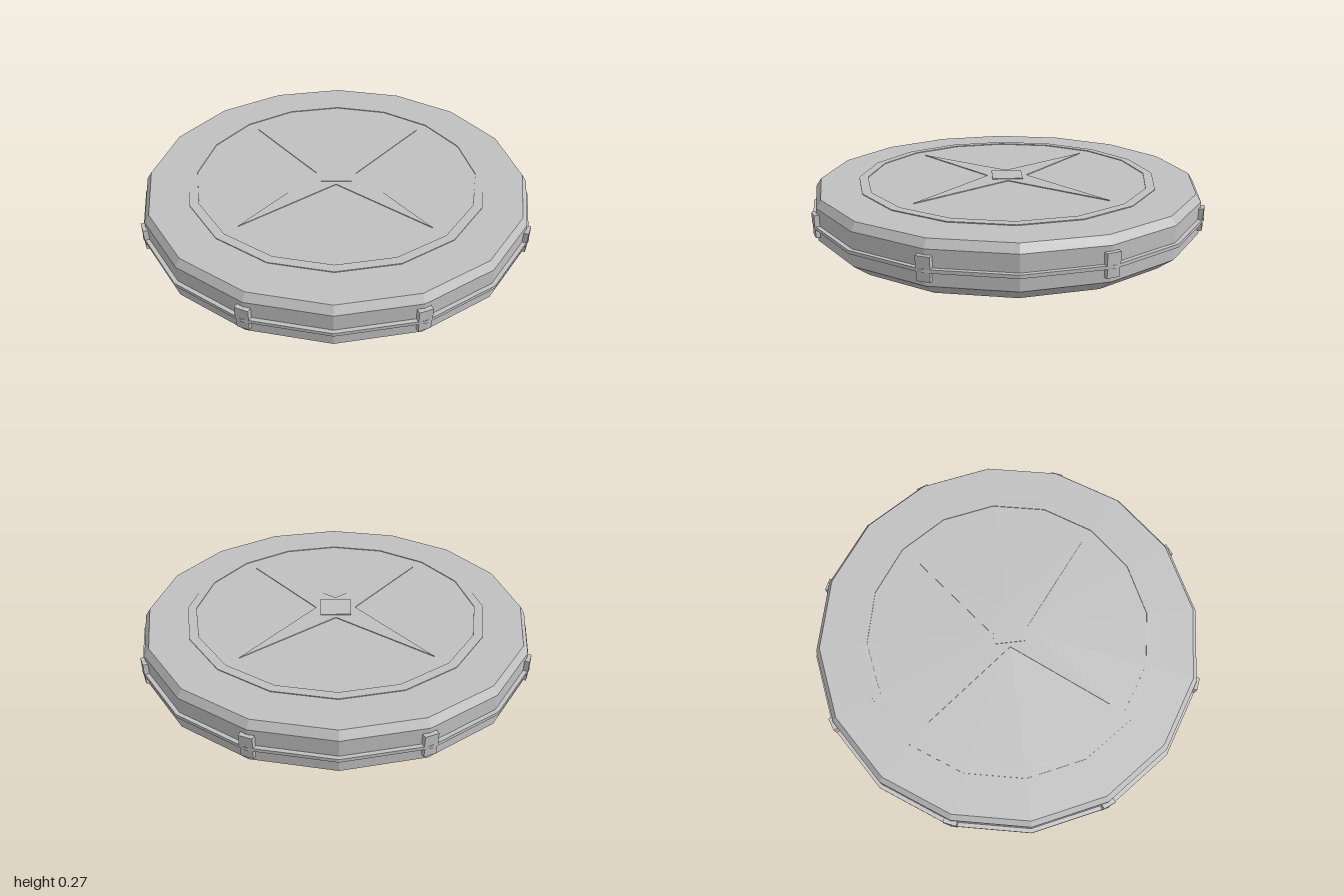
import * as THREE from 'three';

export function createModel() {
  const model = new THREE.Group();
  const grey = new THREE.MeshStandardMaterial({ color: 0xc0c0c0, flatShading: true });
  grey.name = 'grey metal';
  const SIDES = 16;
  const TOP = 0.262;

  const add = (name, geometry, parent = model) => {
    const mesh = new THREE.Mesh(geometry, grey);
    mesh.name = name;
    parent.add(mesh);
    return mesh;
  };
  const lathe = (points) =>
    new THREE.LatheGeometry(points.map(([r, y]) => new THREE.Vector2(r, y)), SIDES);

  // Flat sixteen-sided body with a bevelled lid and base
  add('body', lathe([[0, 0], [0.9, 0], [0.98, 0.065], [0.98, 0.225], [0.955, TOP], [0, TOP]]));

  // Thin seam rim around the middle
  add('seamRim', lathe([[0.96, 0.13], [1, 0.13], [1, 0.146], [0.96, 0.146]]));

  // Slightly raised ring on the lid
  add('lidRing', lathe([[0.76, TOP - 0.002], [0.76, TOP + 0.004], [0.715, TOP + 0.004], [0.715, TOP - 0.002]]));

  // Raised plates on the lid: alternating radii make a four-pointed outline
  const lidPlate = (name, tip, notch, height) => {
    const points = [];
    for (let i = 0; i < 8; i++) {
      const r = i % 2 ? notch : tip;
      const a = (i * Math.PI) / 4;
      points.push(new THREE.Vector2(r * Math.cos(a), r * Math.sin(a)));
    }
    const geometry = new THREE.ExtrudeGeometry(new THREE.Shape(points), { depth: height, bevelEnabled: false });
    geometry.rotateX(-Math.PI / 2);
    add(name, geometry).position.y = TOP;
  };
  lidPlate('lidStar', 0.635, 0.1, 0.004);
  lidPlate('lidDiamond', 0.11, 0.11 * Math.SQRT1_2, 0.008);

  // Eight clips holding lid and base together, on every other corner
  for (let i = 0; i < 8; i++) {
    const clip = new THREE.Group();
    clip.name = 'clip';
    clip.rotation.y = Math.PI / 8 + (i * Math.PI) / 4;
    const block = (name, width, y0, y1, outer) =>
      add(name, new THREE.BoxGeometry(width, y1 - y0, outer - 0.94), clip)
        .position.set(0, (y0 + y1) / 2, (outer + 0.94) / 2);
    block('clipUpper', 0.065, 0.146, 0.2, 0.997);
    block('clipLower', 0.06, 0.09, 0.13, 0.995);
    block('clipStrap', 0.05, 0.129, 0.147, 0.995);
    model.add(clip);
  }

  return model;
}
